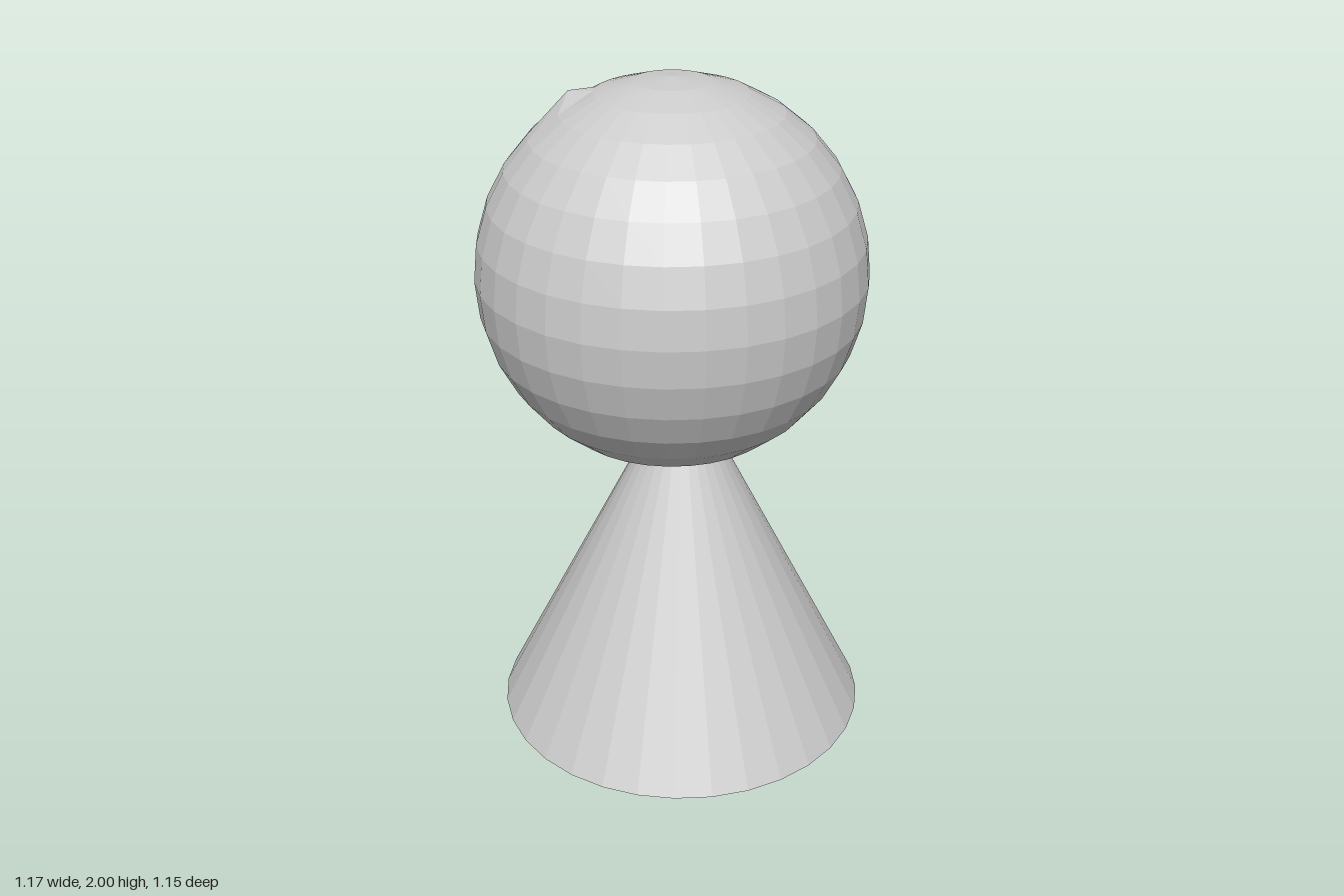
import * as THREE from 'three';

const R = 0.567; // shared radius of ball and cone base

export function createModel() {
  const group = new THREE.Group();
  const material = new THREE.MeshStandardMaterial({ color: 0xcccccc, flatShading: true });

  // conical body, its tip hidden inside the head
  const body = new THREE.Mesh(new THREE.ConeGeometry(R, 2 * R, 32), material);
  body.name = 'coneBody';
  body.position.set(0.019, R, 0.008);
  group.add(body);

  // faceted ball head
  const segments = 32, rings = 16;
  const ball = new THREE.SphereGeometry(R, segments, rings);

  // small spur: one vertex (third ring, second meridian) pulled up and back
  const spur = 3 * (segments + 1) + 2;
  const p = ball.attributes.position;
  p.setXYZ(spur, p.getX(spur) + 0.004, p.getY(spur) + 0.04, p.getZ(spur) - 0.054);
  ball.computeVertexNormals();

  const head = new THREE.Mesh(ball, material);
  head.name = 'ballHead';
  head.position.set(-0.019, 2 - R, -0.008);
  group.add(head);

  return group;
}
